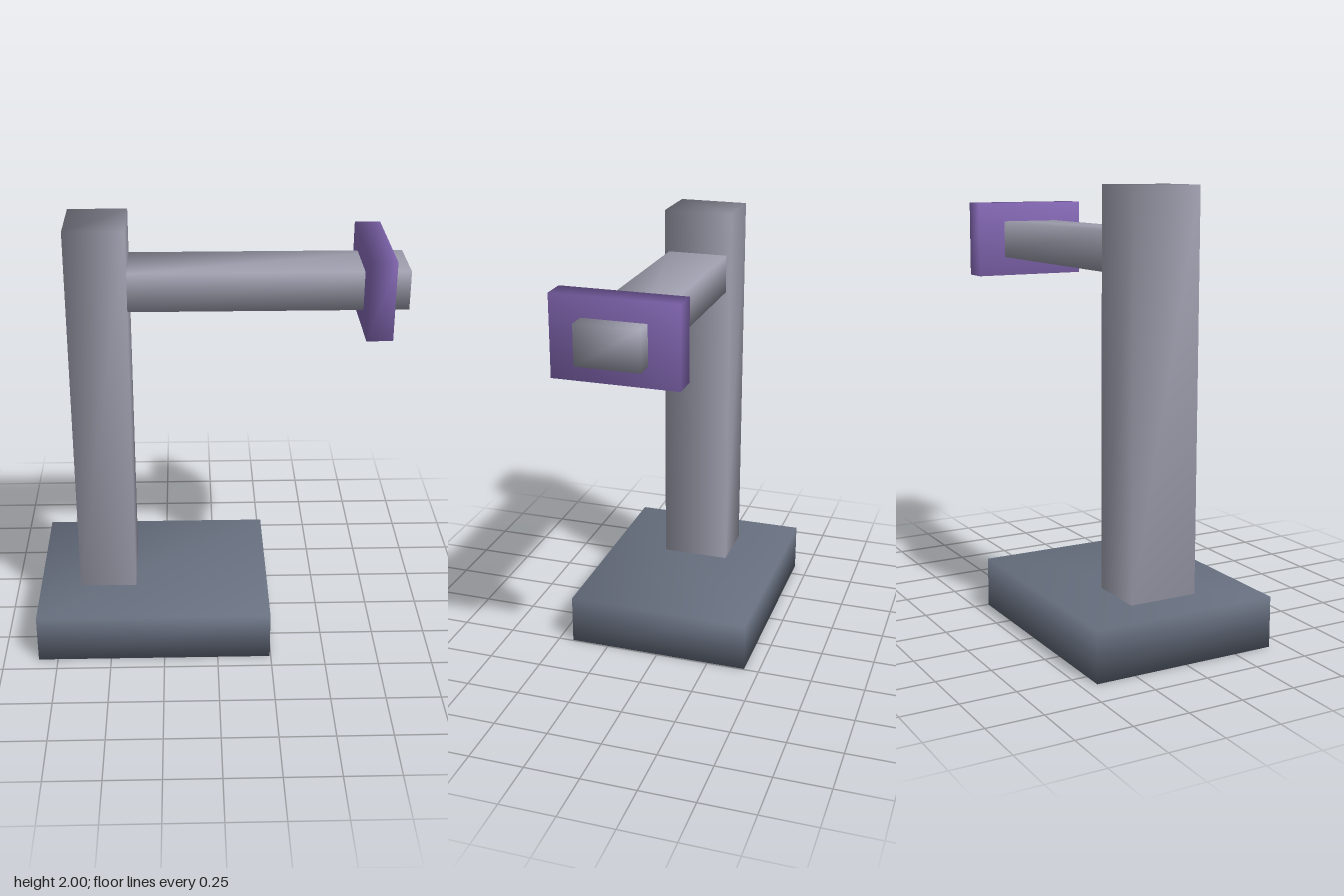
import * as THREE from 'three';
import { mergeVertices } from 'three/addons/utils/BufferGeometryUtils.js';

const steel = new THREE.MeshStandardMaterial({ color: 0xa0a0b0 });
const slate = new THREE.MeshStandardMaterial({ color: 0x687080 });
const purple = new THREE.MeshStandardMaterial({ color: 0x8468b4 });

// Box between two corners, with corners welded so shading is smooth across edges
function softBox(name, material, [x0, y0, z0], [x1, y1, z1]) {
  const box = new THREE.BoxGeometry(x1 - x0, y1 - y0, z1 - z0);
  box.deleteAttribute('normal');
  box.deleteAttribute('uv');
  const geometry = mergeVertices(box);
  geometry.computeVertexNormals();
  const mesh = new THREE.Mesh(geometry, material);
  mesh.name = name;
  mesh.position.set((x0 + x1) / 2, (y0 + y1) / 2, (z0 + z1) / 2);
  return mesh;
}

export function createModel() {
  const group = new THREE.Group();
  group.name = 'hangingStand';
  group.add(
    // Flat foot, offset under the post
    softBox('base', slate, [-0.84, 0, -0.43], [0.245, 0.23, 0.43]),
    // Upright post
    softBox('post', steel, [-0.65, 0.23, -0.16], [-0.385, 2, 0.16]),
    // Horizontal arm
    softBox('arm', steel, [-0.385, 1.63, -0.14], [0.84, 1.805, 0.14]),
    // Stop plate near the arm's free end
    softBox('stopPlate', purple, [0.64, 1.54, -0.275], [0.755, 1.895, 0.275])
  );
  return group;
}
